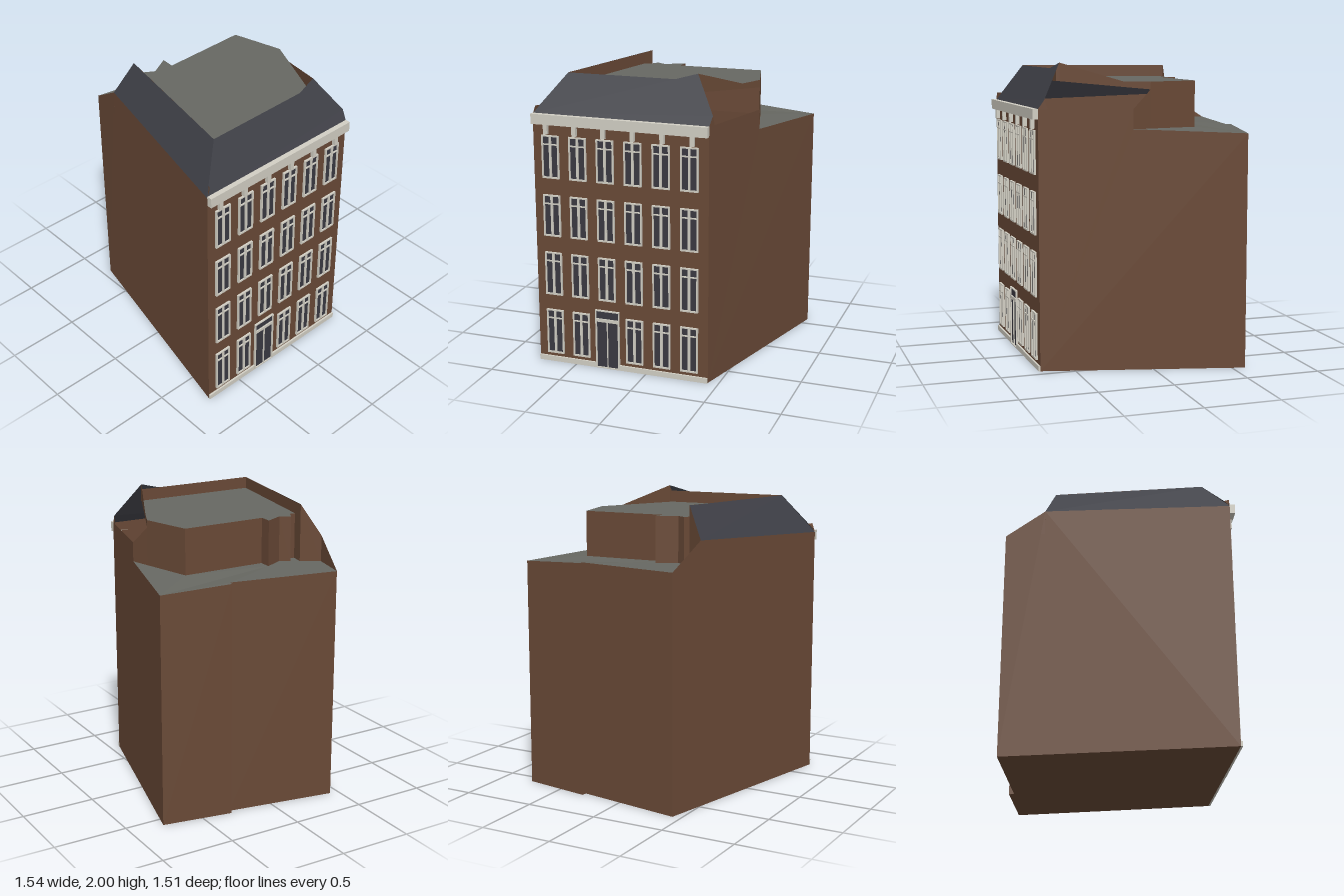
import * as THREE from 'three';

const mat = (name, color) => {
  const m = new THREE.MeshStandardMaterial({ color, side: THREE.DoubleSide });
  m.name = name;
  return m;
};

export function createModel() {
  const brick = mat('brick', 0x6a4a37);
  const slate = mat('slate', 0x3e3f46);
  const felt = mat('roof felt', 0x676862);
  const trim = mat('cream trim', 0xd2cfc4);
  const glass = mat('dark glass', 0x3a3942);

  const model = new THREE.Group();
  model.name = 'townHouse';

  const add = (name, geo, material, parent = model) => {
    const m = new THREE.Mesh(geo, material);
    m.name = name;
    parent.add(m);
    return m;
  };

  // Flat-shaded surface from a list of triangles
  const surface = (tris) => {
    const g = new THREE.BufferGeometry();
    g.setAttribute('position', new THREE.Float32BufferAttribute(tris.flat(2), 3));
    g.computeVertexNormals();
    return g;
  };
  // Convex face from its corners
  const fan = (pts) => surface(pts.slice(2).map((p, i) => [pts[0], pts[i + 1], p]));
  // Roughly level face of any outline
  const deck = (pts) => {
    const outline = pts.map(([x, , z]) => new THREE.Vector2(x, z));
    const up = THREE.ShapeUtils.isClockWise(outline);
    return surface(THREE.ShapeUtils.triangulateShape(outline, []).map(([a, b, c]) =>
      up ? [pts[a], pts[b], pts[c]] : [pts[a], pts[c], pts[b]]));
  };
  // Upright walls along a chain of [x, z, bottom, top]
  const walls = (chain) => {
    const tris = [];
    for (let i = 0; i + 1 < chain.length; i++) {
      const [x, z, b, t] = chain[i], [u, w, c, d] = chain[i + 1];
      tris.push([[x, b, z], [u, c, w], [u, d, w]], [[x, b, z], [u, d, w], [x, t, z]]);
    }
    return surface(tris);
  };
  const box = (name, x0, x1, y0, y1, z0, z1, material, parent) => {
    const m = add(name, new THREE.BoxGeometry(x1 - x0, y1 - y0, z1 - z0), material, parent);
    m.position.set((x0 + x1) / 2, (y0 + y1) / 2, (z0 + z1) / 2);
  };

  // Main walls on a skewed plot
  const F = 0.72, low = 1.575, flat = 1.88;
  add('frontWall', walls([[-0.77, F, 0, 1.71], [0.43, F, 0, 1.71]]), brick);
  add('leftSideWall', fan([[0.43, 0, F], [0.77, 0, -0.585], [0.77, 1.55, -0.585],
    [0.58, 1.58, 0.13], [0.58, 1.71, 0.13], [0.43, 1.71, F]]), brick);
  add('backWall', walls([[0.77, -0.585, 0, 1.55], [0.3, -0.665, 0, low],
    [0.295, -0.63, 0, low], [-0.44, -0.755, 0, low]]), brick);
  add('rightSideWall', fan([[-0.5, low, -0.495], [-0.44, low, -0.755], [-0.44, 0, -0.755],
    [-0.77, 0, F], [-0.77, 1.7, F], [-0.5, 1.75, -0.495]].reverse()), brick);
  add('base', deck([[-0.77, 0, F], [0.43, 0, F], [0.77, 0, -0.585], [0.3, 0, -0.665],
    [0.295, 0, -0.63], [-0.44, 0, -0.755]]), brick);

  // Stepped back of the attic, from right to left
  const steps = [[-0.4, -0.325], [-0.36, -0.325], [-0.325, -0.39], [-0.26, -0.35],
    [-0.13, -0.42], [-0.135, -0.33], [0.45, -0.34]];
  add('atticEndWall', walls([[-0.5, -0.495, low, 1.75], [-0.38, -0.42, low, 1.96],
    [-0.4, -0.325, low, 1.96]]), brick);
  add('atticBackWall', walls([...steps, [0.54, 0]].map(([x, z]) => [x, z, low, flat])), brick);
  add('atticSideWall', walls([[0.54, 0, low, 1.83], [0.58, 0.13, low, 1.71]]), brick);

  // Flat roofs
  add('lowerRoof', deck([[0.58, 1.58, 0.13], [0.77, 1.55, -0.585], [0.3, low, -0.665],
    [0.295, low, -0.63], [-0.44, low, -0.755], [-0.5, low, -0.495], [-0.38, low, -0.42],
    ...steps.map(([x, z]) => [x, low, z])]), felt);
  add('upperRoof', deck([...steps.map(([x, z]) => [x, flat, z]), [0.54, flat, 0],
    [0.295, flat, 0.54], [0.29, flat, 0.56], [-0.58, flat, 0.57]]), felt);

  // Parapet behind the ridges
  add('parapet', walls([[-0.4, -0.325, flat, 1.96], [-0.58, 0.57, flat, 1.96],
    [0.29, 0.56, flat, 1.96], [0.295, 0.54, flat, 2], [0.54, 0, flat, 1.83]]), brick);

  // Slate slopes; the left flank stays open
  add('frontSlope', fan([[-0.77, 1.71, F], [0.43, 1.71, F], [0.44, 1.77, 0.68],
    [0.295, 2, 0.54], [0.29, 1.96, 0.56], [-0.58, 1.96, 0.57]]), slate);
  add('rightSlope', fan([[-0.5, 1.75, -0.495], [-0.77, 1.7, F],
    [-0.58, 1.96, 0.57], [-0.38, 1.96, -0.42]]), slate);
  add('eaveTab', fan([[-0.77, 1.7, F], [-0.75, 1.76, F], [-0.73, 1.76, 0.69]]), brick);
  add('eaveCheek', fan([[0.43, 1.71, F], [0.445, 1.71, 0.66], [0.44, 1.77, 0.68]]), brick);

  // Cornice, brackets and plinth
  box('cornice', -0.77, 0.43, 1.645, 1.712, F, 0.755, trim);
  for (let i = 0; i < 6; i++) {
    const x = -0.675 + i * 0.2;
    box('bracket', x - 0.014, x + 0.014, 1.58, 1.645, F, 0.745, trim);
  }
  box('plinthRight', -0.77, -0.355, 0, 0.035, F, 0.733, trim);
  box('plinthLeft', -0.185, 0.43, 0, 0.035, F, 0.733, trim);

  // Frame with rectangular panes [x0, x1, y0, y1] and thin glass behind
  const opening = (name, x0, x1, y0, y1, panes) => {
    const group = new THREE.Group();
    group.name = name;
    model.add(group);
    const rect = (a, b, c, d, s) =>
      s.moveTo(a, c).lineTo(b, c).lineTo(b, d).lineTo(a, d).lineTo(a, c);
    const shape = new THREE.Shape();
    rect(x0, x1, y0, y1, shape);
    for (const [a, b, c, d] of panes) {
      const hole = new THREE.Path();
      rect(a, b, c, d, hole);
      shape.holes.push(hole);
    }
    const frame = new THREE.ExtrudeGeometry(shape, { depth: 0.014, bevelEnabled: false });
    add('frame', frame, trim, group).position.z = F;
    box('panel', x0 + 0.005, x1 - 0.005, y0 + 0.005, y1 - 0.005, F + 0.001, F + 0.005, glass, group);
  };

  // Four floors of paired sashes, with the door in the third bay
  const floors = [[0.06, 0.373], [0.48, 0.778], [0.89, 1.173], [1.285, 1.572]];
  floors.forEach(([y0, y1], f) => {
    for (let i = 0; i < 6; i++) {
      if (f === 0 && i === 2) continue;
      const x = -0.649 + i * 0.1905, bar = y1 - 0.06;
      const panes = [];
      for (const [a, b] of [[x - 0.05, x - 0.008], [x + 0.008, x + 0.05]]) {
        panes.push([a, b, y0 + 0.011, bar - 0.004], [a, b, bar + 0.004, y1 - 0.009]);
      }
      opening('window', x - 0.06, x + 0.06, y0, y1, panes);
    }
  });
  opening('door', -0.355, -0.185, 0, 0.412, [[-0.345, -0.273, 0.008, 0.33],
    [-0.267, -0.195, 0.008, 0.33], [-0.349, -0.191, 0.352, 0.404]]);

  return model;
}
